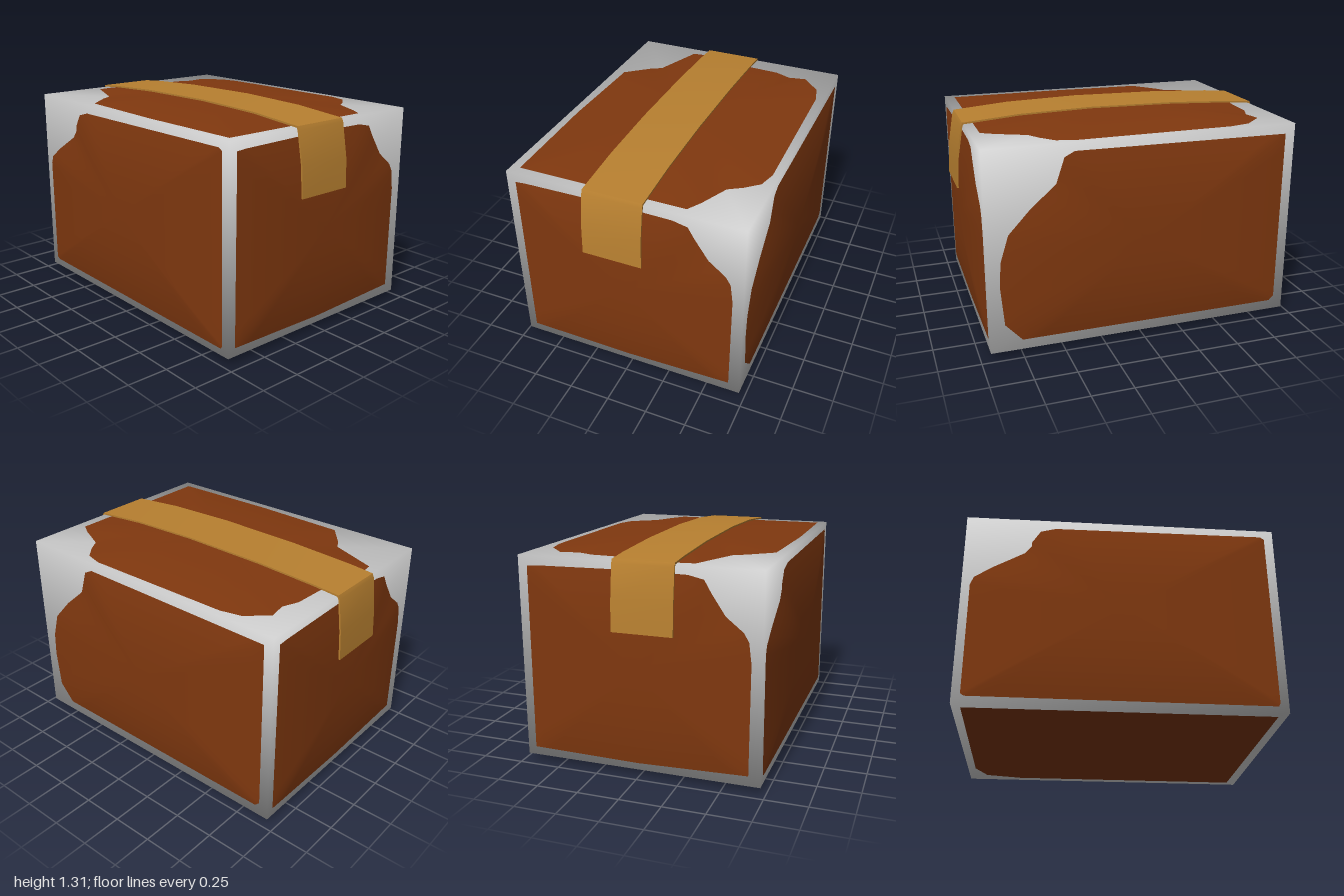
import * as THREE from 'three';
import { mergeVertices, toCreasedNormals } from 'three/addons/utils/BufferGeometryUtils.js';

const mat = (name, color) => {
  const m = new THREE.MeshStandardMaterial({ color });
  m.name = name;
  return m;
};
const V = (x, y, z) => new THREE.Vector3(x, y, z);

// Splits long outline edges so a domed panel curves evenly
function densify(points, step = 0.1) {
  const out = [];
  points.forEach((p, i) => {
    const q = points[(i + 1) % points.length];
    const n = Math.max(1, Math.ceil(p.distanceTo(q) / step));
    for (let k = 0; k < n; k++) out.push(p.clone().lerp(q, k / n));
  });
  return out;
}

// Domed panel with a ragged outline, lying in the plane u, v and bulging along u x v
function panelGeometry(outline, bulge, u, v, origin) {
  const pts = outline.map(([a, b]) => new THREE.Vector2(a, b));
  if (THREE.ShapeUtils.isClockWise(pts)) pts.reverse();
  const rim = densify(pts), n = rim.length, rings = 12;
  const pos = [0, 0, bulge], index = [];
  for (let r = 1; r <= rings; r++) {
    const t = r / rings;
    for (const p of rim) pos.push(p.x * t, p.y * t, bulge * (1 - t ** 2.5));
  }
  for (let i = 0; i < n; i++) {
    const j = (i + 1) % n;
    index.push(0, 1 + i, 1 + j);
    for (let r = 0; r < rings - 1; r++) {
      const a = 1 + r * n, b = a + n;
      index.push(a + i, b + i, b + j, a + i, b + j, a + j);
    }
  }
  const g = new THREE.BufferGeometry();
  g.setAttribute('position', new THREE.Float32BufferAttribute(pos, 3));
  g.setIndex(index);
  g.applyMatrix4(new THREE.Matrix4().makeBasis(u, v, u.clone().cross(v)).setPosition(origin));
  g.computeVertexNormals();
  return g;
}

export function createModel() {
  const group = new THREE.Group();
  const brown = mat('brown', 0x80380f);
  const gold = mat('gold', 0xb88030);
  const grey = mat('light grey', 0xd0d0d0);
  const add = (name, geometry, material) => {
    const mesh = new THREE.Mesh(geometry, material);
    mesh.name = name;
    group.add(mesh);
  };

  // Inner crate with shared corner normals for soft shading
  const [L, R, B, T, Z] = [-0.95, 0.94, 0.04, 1.26, 0.72];
  let crate = new THREE.BoxGeometry(R - L, T - B, 2 * Z);
  crate.deleteAttribute('normal');
  crate.deleteAttribute('uv');
  crate = mergeVertices(crate);
  crate.computeVertexNormals();
  crate.translate((L + R) / 2, (B + T) / 2, 0);
  add('crate', crate, grey);

  // Bulging panels, outlines measured on each face
  const mid = 0.65;
  const raise = (pts) => pts.map(([a, b]) => [a, b - mid]);
  const X = V(1, 0, 0), Y = V(0, 1, 0), W = V(0, 0, 1);
  const neg = (a) => a.clone().negate();

  const front = raise([[-0.9, 0.1], [-0.88, 0.085], [0.88, 0.08], [0.89, 0.1], [0.885, 1.2], [0.86, 1.215],
    [-0.41, 1.205], [-0.5, 1.18], [-0.55, 1.1], [-0.55, 1.07], [-0.59, 1.02], [-0.78, 0.91], [-0.88, 0.84], [-0.9, 0.79]]);
  add('frontPanel', panelGeometry(front, 0.045, X, Y, V(0, mid, Z)), brown);

  const back = raise([[-0.75, 0.1], [0.86, 0.1], [0.89, 0.13], [0.89, 1.2], [-0.42, 1.21], [-0.48, 1.18],
    [-0.53, 1.03], [-0.68, 0.9], [-0.81, 0.76], [-0.86, 0.6], [-0.87, 0.45], [-0.85, 0.21]]);
  add('backPanel', panelGeometry(back, 0.045, neg(X), Y, V(0, mid, -Z)), brown);

  const side = raise([[-0.67, 0.09], [0, 0.08], [0.65, 0.1], [0.655, 0.75], [0.64, 0.87], [0.61, 0.92], [0.51, 1.0],
    [0.43, 1.12], [0.39, 1.19], [0.3, 1.21], [0, 1.215], [-0.6, 1.205], [-0.665, 1.2]]);
  add('leftPanel', panelGeometry(side, 0.04, neg(W), Y, V(R, mid, 0)), brown);
  add('rightPanel', panelGeometry(side, 0.035, W, Y, V(L, mid, 0)), brown);

  const top = [[-0.89, 0.22], [-0.88, 0.32], [-0.58, 0.44], [-0.54, 0.51], [-0.42, 0.655], [0.2, 0.675], [0.88, 0.665],
    [0.88, -0.36], [0.8, -0.41], [0.63, -0.49], [0.58, -0.57], [0.51, -0.65], [0.4, -0.68], [-0.55, -0.67],
    [-0.68, -0.64], [-0.8, -0.53], [-0.78, -0.42], [-0.82, -0.32], [-0.83, -0.13]];
  add('topPanel', panelGeometry(top.map(([x, z]) => [x, -z]), 0.033, X, neg(W), V(0, T, 0)), brown);

  const bottom = [[-0.9, 0.66], [-0.9, -0.47], [-0.83, -0.62], [-0.6, -0.67], [0.88, -0.67], [0.89, 0.66]];
  add('bottomPanel', panelGeometry(bottom, 0.04, X, W, V(0, B, 0)), brown);

  // Tape folded over the top and down both sides
  const outer = [[-1, 0.87], [-0.99, 1.05], [-0.965, 1.25], [-0.955, 1.272], [-0.8, 1.285], [-0.4, 1.304], [0.15, 1.312],
    [0.6, 1.3], [0.945, 1.272], [0.955, 1.25], [0.99, 1.05], [1, 0.87]];
  const inner = outer.map(([x, y]) => (y > 1.26 ? [x * 0.992, y - 0.01] : [x - Math.sign(x) * 0.01, y])).reverse();
  const profile = new THREE.Shape([...outer, ...inner].map(([x, y]) => new THREE.Vector2(x, y)));
  const tape = new THREE.ExtrudeGeometry(profile, { depth: 0.365, bevelEnabled: false });
  tape.translate(0, 0, -0.135);
  add('tape', toCreasedNormals(tape, 0.6), gold);

  return group;
}
